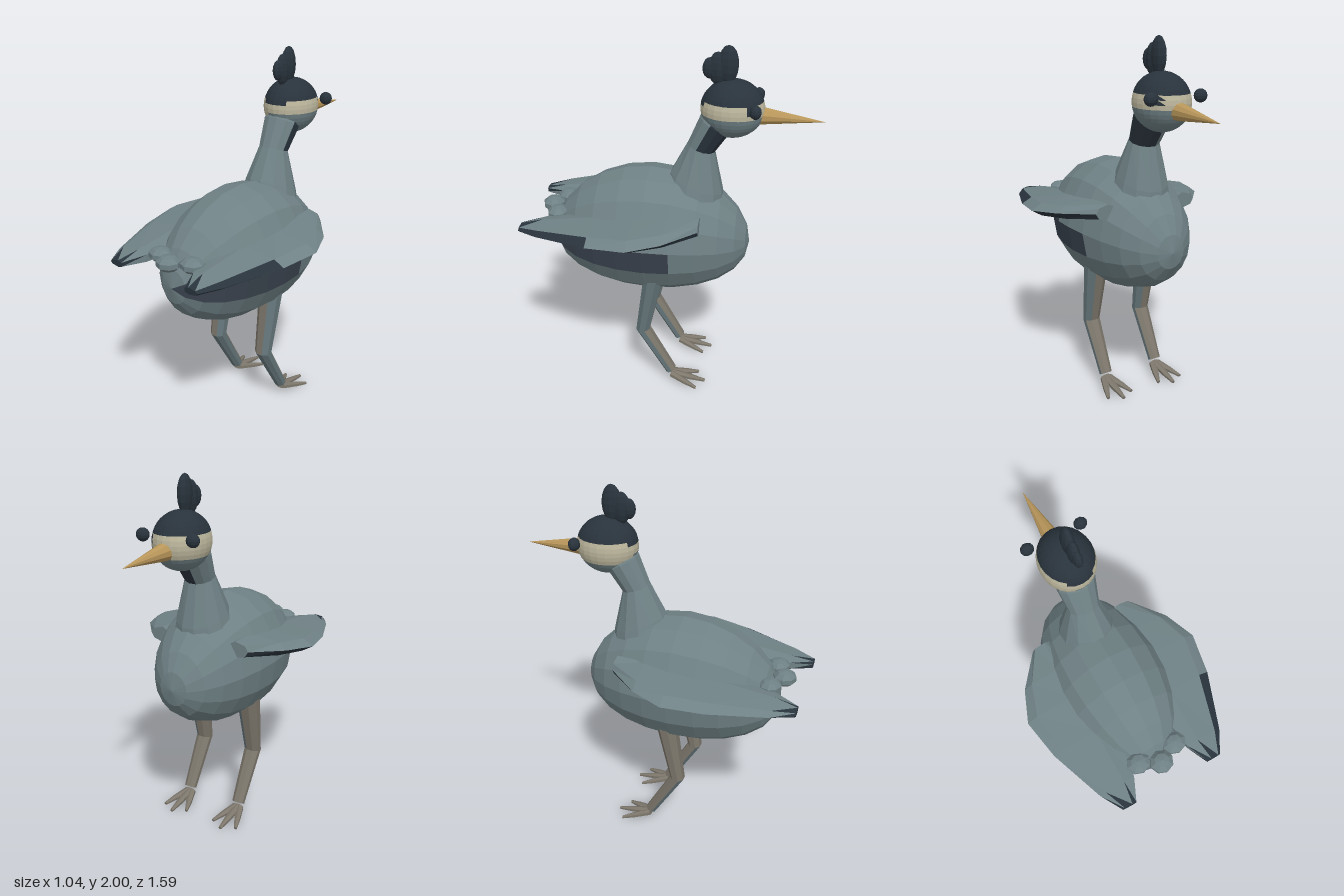
import * as THREE from 'three';

const mat = (name, color) => {
  const m = new THREE.MeshStandardMaterial({ color, flatShading: true });
  m.name = name;
  return m;
};
const V = (x, y, z) => new THREE.Vector3(x, y, z);

// Flat-shaded mesh whose faces choose a material index from centre and normal
function painted(name, geo, mats, rule) {
  const g = geo.index ? geo.toNonIndexed() : geo;
  g.computeVertexNormals();
  const p = g.attributes.position;
  const tri = new THREE.Triangle(), c = V(), n = V();
  let start = 0, last = -1;
  for (let i = 0; i < p.count; i += 3) {
    tri.setFromAttributeAndIndices(p, i, i + 1, i + 2);
    tri.getMidpoint(c);
    tri.getNormal(n);
    const k = rule(c, n);
    if (k !== last) {
      if (last >= 0) g.addGroup(start, i - start, last);
      start = i;
      last = k;
    }
  }
  g.addGroup(start, p.count - start, last);
  const mesh = new THREE.Mesh(g, mats);
  mesh.name = name;
  return mesh;
}

// Skin over a row of closed rings, with capped ends
function loft(rings) {
  const pts = [];
  const n = rings[0].length, end = rings[rings.length - 1];
  for (let i = 0; i < rings.length - 1; i++) {
    for (let j = 0; j < n; j++) {
      const k = (j + 1) % n;
      const a = rings[i][j], b = rings[i][k], c = rings[i + 1][k], d = rings[i + 1][j];
      pts.push(a, b, d, b, c, d);
    }
  }
  for (let j = 1; j < n - 1; j++) {
    pts.push(rings[0][0], rings[0][j + 1], rings[0][j]);
    pts.push(end[0], end[j], end[j + 1]);
  }
  return new THREE.BufferGeometry().setFromPoints(pts);
}

// Elliptical ring facing along dir
function ring(c, dir, rx, rv, n) {
  const x = V(1, 0, 0), v = dir.clone().cross(x).normalize();
  return Array.from({ length: n }, (_, i) => {
    const a = ((i + 0.5) / n) * Math.PI * 2;
    return c.clone().addScaledVector(x, rx * Math.cos(a)).addScaledVector(v, rv * Math.sin(a));
  });
}

export function createModel() {
  const grey = mat('slate grey plumage', 0x6f8185);
  const patch = mat('dark flank', 0x3a434e);
  const dark = mat('dark plumage', 0x29333c);
  const cream = mat('cream band', 0xbdb79d);
  const horn = mat('horn beak', 0xb8965a);
  const taupe = mat('taupe legs', 0x7c766b);
  const legGrey = mat('grey leg scales', 0x65767b);

  const model = new THREE.Group();
  const add = (name, geo, m) => {
    const mesh = new THREE.Mesh(geo, m);
    mesh.name = name;
    model.add(mesh);
    return mesh;
  };
  const blob = (name, m, pos, size, w = 10, h = 8) => {
    const mesh = add(name, new THREE.SphereGeometry(1, w, h), m);
    mesh.position.set(...pos);
    mesh.scale.set(...size);
    return mesh;
  };

  // Egg-shaped body with slightly lowered ends and a dark flank
  const body = new THREE.SphereGeometry(1, 16, 12).rotateX(Math.PI / 2);
  const bp = body.attributes.position;
  for (let i = 0; i < bp.count; i++) {
    const z = bp.getZ(i);
    bp.setXYZ(i, bp.getX(i) * 0.32, 0.955 + bp.getY(i) * 0.365 - 0.05 * z * z, 0.11 + z * 0.555);
  }
  model.add(painted('body', body, [grey, patch], (c) => {
    const t = (c.z - 0.11) / 0.555;
    const angle = Math.atan2((c.y - 0.955 + 0.05 * t * t) / 0.365, c.x / 0.32) / (Math.PI / 8);
    const lower = angle > -1 && angle < 0 && c.z > -0.03;
    const upper = angle > 0 && angle < 1 && c.z > 0.25;
    return lower || upper ? 1 : 0;
  }));

  // Neck, narrow in the middle, with a dark throat
  const neck = loft([
    ring(V(0, 1.14, -0.13), V(0, 0.93, -0.35), 0.17, 0.18, 12),
    ring(V(0, 1.255, -0.145), V(0, 0.93, -0.36), 0.14, 0.155, 12),
    ring(V(0, 1.455, -0.165), V(0, 0.95, -0.3), 0.085, 0.077, 12),
    ring(V(0, 1.59, -0.237), V(0, 0.88, -0.46), 0.105, 0.092, 12),
    ring(V(0, 1.65, -0.27), V(0, 0.88, -0.46), 0.09, 0.08, 12),
  ]);
  model.add(painted('neck', neck, [grey, dark],
    (c, n) => (c.y > 1.47 && n.x > -0.2 && n.z < 0.35 ? 1 : 0)));

  // Head with dark cap, cream band and grey cheeks
  const head = new THREE.SphereGeometry(1, 24, 20).scale(0.145, 0.153, 0.167).translate(0, 1.676, -0.322);
  model.add(painted('head', head, [grey, dark, cream], (c) => {
    const nape = c.z > -0.25 && Math.abs(c.x) < 0.07;
    if (c.y > (nape ? 1.7 : 1.722)) return 1;
    if (c.x > 0.05 && c.z < -0.4 && c.z > -0.45 && c.y > 1.67) return 1;
    return c.y > (c.x < -0.03 ? 1.6 : 1.651) ? 2 : 0;
  }));

  // Upright crest of three flat tufts
  blob('crestFront', dark, [0, 1.9, -0.292], [0.032, 0.1, 0.055]);
  blob('crestMiddle', dark, [0, 1.88, -0.24], [0.03, 0.085, 0.05]);
  blob('crestBack', dark, [0, 1.88, -0.2], [0.025, 0.055, 0.04]);

  // Long pointed beak
  const beak = add('beak', new THREE.ConeGeometry(0.052, 0.36, 10), horn);
  beak.rotation.x = -Math.PI / 2 - 0.05;
  beak.position.set(0, 1.637, -0.617);

  // Tail tufts
  blob('tailCentre', grey, [0, 1.05, 0.675], [0.068, 0.042, 0.065], 8, 5);
  for (const s of [-1, 1]) blob('tailSide', grey, [s * 0.11, 1.05, 0.62], [0.07, 0.04, 0.062], 8, 5);

  // Wing stations: z, inner x, outer x, middle y, half thickness
  const stations = [
    [-0.19, 0.2, 0.31, 1.1, 0.045],
    [-0.02, 0.15, 0.45, 1.085, 0.055],
    [0.15, 0.15, 0.52, 1.07, 0.055],
    [0.37, 0.12, 0.48, 1.052, 0.048],
    [0.67, 0.165, 0.37, 1.028, 0.032],
    [0.79, 0.22, 0.3, 1.018, 0.018],
  ];
  // Wing section: fraction towards the outer edge, fraction of thickness
  const section = [[1, 0], [0.84, 0.65], [0.3, 1], [0, 0.6], [0, -0.6], [0.3, -1], [0.84, -0.65]];

  for (const s of [-1, 1]) {
    const side = s > 0 ? 'left' : 'right';
    blob(side + 'Eye', dark, [s * 0.148, 1.71, -0.447], [0.036, 0.035, 0.031]);

    // Wing, dark underneath and at the tip
    const rings = stations.map(([z, xi, xo, y, h]) => {
      const r = section.map(([f, t]) => V(s * (xi + f * (xo - xi)), y + t * h, z));
      return s > 0 ? r : r.reverse();
    });
    model.add(painted(side + 'Wing', loft(rings), [grey, dark], (c, n) => {
      const rim = s > 0 && n.x > 0.25 && c.z > 0.38;
      return n.y < -0.1 || rim || c.z > 0.745 ? 1 : 0;
    }));

    // Leg bent at the joint, grey on the back and one side
    const x = s * 0.17;
    const leg = loft([
      ring(V(x, 0.72, 0.07), V(0, -1, 0.15), 0.07, 0.058, 8),
      ring(V(x, 0.36, 0.135), V(0, -1, -0.1), 0.05, 0.042, 8),
      ring(V(x, 0.075, -0.03), V(0, -0.87, -0.5), 0.037, 0.032, 8),
    ]);
    model.add(painted(side + 'Leg', leg, [taupe, legGrey], (c, n) => {
      if (c.y > 0.36) return n.x > 0.2 ? 1 : 0;
      return n.z > 0.2 || n.x > 0.7 ? 1 : 0;
    }));

    // Foot with fanned toes
    for (const [dx, dz] of [[-0.075, -0.19], [0, -0.235], [0.075, -0.19]]) {
      const a = V(x + dx * 0.15, 0.05, -0.03), b = V(x + dx, 0.012, dz);
      const d = b.clone().sub(a).normalize();
      const toe = loft([
        ring(a, d, 0.026, 0.018, 6),
        ring(a.clone().lerp(b, 0.55), d, 0.021, 0.015, 6),
        ring(b, d, 0.01, 0.009, 6),
      ]);
      add(side + 'Toe', toe, taupe).geometry.computeVertexNormals();
    }
  }
  return model;
}
